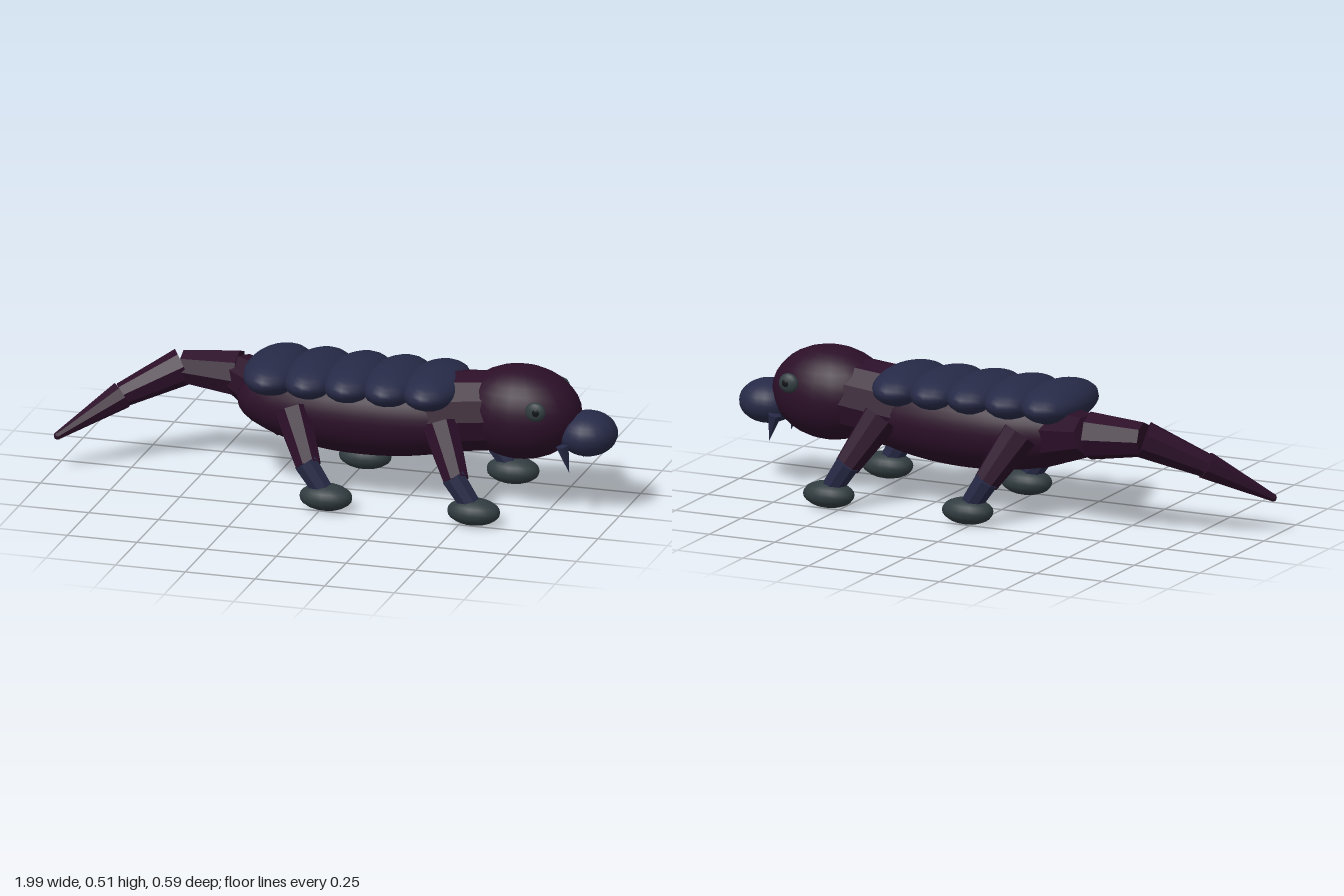
import * as THREE from 'three';

export function createModel() {
  const root = new THREE.Group();
  const mat = (name, color, flatShading = false) => {
    const m = new THREE.MeshStandardMaterial({ color, flatShading });
    m.name = name;
    return m;
  };
  const hide = mat('dark plum hide', 0x2b0f28);
  const shell = mat('navy shell', 0x272a47);
  const claw = mat('slate grey', 0x313c40);
  const pupilMat = mat('near black', 0x101317);
  const V = (x, y, z) => new THREE.Vector3(x, y, z);

  const add = (name, geo, material) => {
    const m = new THREE.Mesh(geo, material);
    m.name = name;
    root.add(m);
    return m;
  };
  // ellipsoid with its own centre and radii
  const ellipsoid = (name, c, r, material, seg = 16) => {
    const geo = new THREE.SphereGeometry(1, seg, Math.max(8, seg - 4));
    geo.scale(...r);
    const m = add(name, geo, material);
    m.position.set(...c);
    return m;
  };
  // faceted tapered limb between two points, r0 at a and r1 at b
  const limb = (name, a, b, r0, r1, material, sides = 8) => {
    const d = b.clone().sub(a);
    const geo = new THREE.CylinderGeometry(r1, r0, d.length(), sides).toNonIndexed();
    geo.computeVertexNormals();
    const m = add(name, geo, material);
    m.position.copy(a).addScaledVector(d, 0.5);
    m.quaternion.setFromUnitVectors(V(0, 1, 0), d.normalize());
    return m;
  };

  // trunk, neck and head, facing +x
  ellipsoid('body', [0.1, 0.3, 0], [0.47, 0.157, 0.175], hide, 24);
  limb('neck', V(0.3, 0.31, 0), V(0.6, 0.345, 0), 0.145, 0.14, hide, 12);
  ellipsoid('head', [0.65, 0.346, 0], [0.215, 0.165, 0.157], hide, 20);
  ellipsoid('snout', [0.89, 0.29, 0], [0.103, 0.077, 0.106], shell, 20);

  // row of overlapping back plates
  for (let i = 0; i < 5; i++) {
    ellipsoid('backPlate' + (i + 1), [-0.22 + i * 0.142, 0.41, 0], [0.112, 0.07, 0.203], shell, 20);
  }

  // bent tail made of stepped segments
  const tail = [V(-0.17, 0.285, 0), V(-0.4, 0.335, -0.125), V(-0.6, 0.342, -0.12), V(-0.79, 0.25, -0.025), V(-0.98, 0.127, 0.108)];
  const radii = [[0.118, 0.075], [0.084, 0.06], [0.066, 0.043], [0.05, 0.014]];
  radii.forEach(([r0, r1], i) => limb('tailSegment' + (i + 1), tail[i], tail[i + 1], r0, r1, hide));
  ellipsoid('tailTip', [-0.98, 0.127, 0.108], [0.014, 0.014, 0.014], hide, 8);

  // mirrored parts
  for (const s of [1, -1]) {
    const side = s > 0 ? 'right' : 'left';
    ellipsoid(side + 'Eye', [0.745, 0.398, s * 0.144], [0.037, 0.035, 0.019], claw, 14);
    ellipsoid(side + 'Pupil', [0.75, 0.4, s * 0.161], [0.013, 0.013, 0.004], pupilMat, 10);
    limb(side + 'Fang', V(0.825, 0.265, s * 0.09), V(0.848, 0.17, s * 0.085), 0.024, 0.0005, shell, 6);
    for (const [end, dx] of [['front', 0.53], ['hind', 0]]) {
      const n = end + (s > 0 ? 'Right' : 'Left');
      limb(n + 'UpperLeg', V(-0.13 + dx, 0.31, s * 0.13), V(-0.045 + dx, 0.15, s * 0.222), 0.066, 0.046, hide);
      limb(n + 'LowerLeg', V(-0.055 + dx, 0.165, s * 0.23), V(0.012 + dx, 0.065, s * 0.23), 0.043, 0.037, shell);
      ellipsoid(n + 'Foot', [0.02 + dx, 0.047, s * 0.23], [0.094, 0.047, 0.063], claw, 16);
    }
  }

  // centre the length and rest on the ground
  root.position.x = -0.002;
  return root;
}
